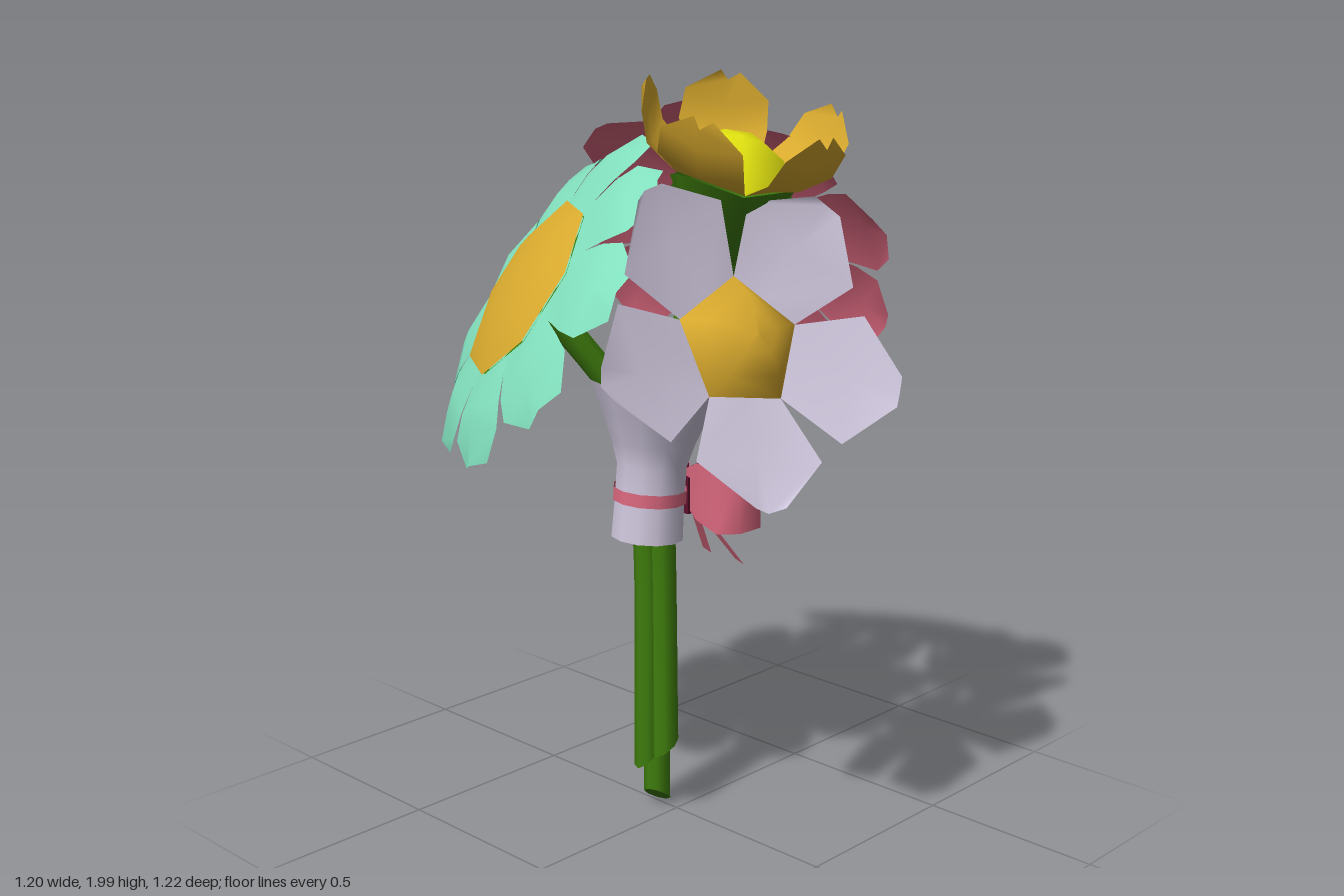
import * as THREE from 'three';

const mat = (name, color) =>
  Object.assign(new THREE.MeshStandardMaterial({ color, side: THREE.DoubleSide }), { name });
const M = {
  gold: mat('gold', 0xd9aa2e),
  yellow: mat('bright yellow', 0xe0e010),
  green: mat('leaf green', 0x3f7d0d),
  pink: mat('rose pink', 0xdb687f),
  teal: mat('mint', 0x82e0be),
  white: mat('pale lavender', 0xd0c8de),
  maroon: mat('maroon', 0x5e0f2c),
};
const V = (x, y, z) => new THREE.Vector3(x, y, z);
const rad = THREE.MathUtils.degToRad;

function add(parent, name, geo, material) {
  const m = new THREE.Mesh(geo, material);
  m.name = name;
  parent.add(m);
  return m;
}

// Grid surface from rows of points, all rows of equal length
function gridGeometry(rows) {
  const n = rows[0].length, index = [];
  for (let r = 0; r < rows.length - 1; r++)
    for (let c = 0; c < n - 1; c++) {
      const a = r * n + c, b = a + 1, d = a + n, e = d + 1;
      index.push(a, b, d, b, e, d);
    }
  const g = new THREE.BufferGeometry().setFromPoints(rows.flat());
  g.setIndex(index);
  g.computeVertexNormals();
  return g;
}

// Petal pointing along +z; each row is [half width, distance, height], with a raised midrib
const petalGeometry = (rows, rib) =>
  gridGeometry(rows.map(([w, r, h], i) => [
    V(-w, h, r), V(0, h + (i ? rib : 0), r + (i === rows.length - 1 ? 0.01 : 0)), V(w, h, r),
  ]));

const lathe = (pts, sides, start = 0) =>
  new THREE.LatheGeometry(pts.map(p => new THREE.Vector2(...p)), sides, start);

// Flower head: domed centre, green back and a ring of petals around the local y axis
function flower(root, f) {
  const g = new THREE.Group();
  g.name = f.name;
  g.position.copy(f.at);
  g.quaternion.setFromUnitVectors(V(0, 1, 0), f.normal.clone().normalize());
  const R = f.radius, H = f.dome;
  add(g, 'flowerCentre', lathe([[R, 0], [R * 0.7, H * 0.6], [R * 0.35, H * 0.92], [0, H]], f.sides, f.start), f.centre);
  add(g, 'calyx', lathe([[0, -f.depth], [R * f.neck, -f.depth * 0.85], [R * 0.98, -0.006]], f.sides, f.start), M.green);
  const geo = petalGeometry(f.rows, f.rib);
  for (let i = 0; i < f.petals; i++)
    add(g, 'petal', geo, f.petal).rotation.y = f.phase + i * 2 * Math.PI / f.petals;
  root.add(g);
}

// Stem with a slanted cut at its foot
function stem(root, pts, slope) {
  const r = 0.036, foot = pts[0];
  const cut = (geo, count) => {
    const p = geo.attributes.position;
    for (let i = 0; i < count; i++)
      p.setY(i, p.getY(i) + slope * (p.getX(i) - foot.x) + 0.3 * (p.getZ(i) - foot.z));
    return geo;
  };
  const tube = new THREE.TubeGeometry(new THREE.CatmullRomCurve3(pts), 20, r, 8);
  add(root, 'stem', cut(tube, 9), M.green);
  const cap = new THREE.CircleGeometry(r, 8).rotateX(Math.PI / 2).translate(foot.x, foot.y, foot.z);
  add(root, 'stemCut', cut(cap, 10), M.green);
}

export function createModel() {
  const root = new THREE.Group();
  root.name = 'bouquet';

  // Large daisies: one each side
  const daisy = { radius: 0.253, dome: 0.04, depth: 0.035, neck: 0.15, sides: 8, petals: 9, rib: 0.018,
    centre: M.gold,
    rows: [[0.078, 0.205, -0.006], [0.117, 0.335, -0.026], [0.127, 0.4, -0.046], [0.065, 0.468, -0.08]] };
  flower(root, { ...daisy, name: 'pinkFlower', at: V(0.385, 1.55, -0.14), normal: V(0.82, 0.52, -0.24),
    petal: M.pink, start: rad(112), phase: rad(87) });
  flower(root, { ...daisy, name: 'mintFlower', at: V(-0.332, 1.48, -0.205), normal: V(-0.73, 0.55, -0.41),
    petal: M.teal, start: rad(215), phase: rad(224) });

  // Five-petalled flowers: the front one open, the top one cupped
  const five = { sides: 5, petals: 5 };
  flower(root, { ...five, name: 'whiteFlower', at: V(-0.172, 1.395, 0.375), normal: V(-0.25, 0.42, 0.87),
    radius: 0.165, dome: 0.09, depth: 0.3, neck: 0.28, centre: M.gold, petal: M.white, rib: -0.015,
    start: Math.PI - 0.42, phase: Math.PI * 1.2 - 0.42,
    rows: [[0.095, 0.13, 0], [0.168, 0.295, 0.04], [0.04, 0.41, 0.07]] });
  flower(root, { ...five, name: 'goldFlower', at: V(-0.025, 1.77, 0.215), normal: V(0, 0.95, 0.28),
    radius: 0.16, dome: 0.1, depth: 0.26, neck: 0.42, centre: M.yellow, petal: M.gold, rib: -0.025,
    start: Math.PI, phase: Math.PI * 1.2,
    rows: [[0.094, 0.13, 0], [0.115, 0.207, 0.055], [0.108, 0.235, 0.125], [0.025, 0.25, 0.18]] });

  // Stems
  stem(root, [V(-0.015, 0.04, -0.06), V(-0.015, 0.8, -0.06), V(-0.03, 1.1, -0.03), V(-0.03, 1.55, 0.13)], -0.75);
  stem(root, [V(-0.045, 0.21, 0), V(-0.045, 0.8, -0.01), V(-0.07, 1.08, 0), V(-0.09, 1.28, 0.13)], 0.6);
  stem(root, [V(-0.067, 0.18, -0.045), V(-0.067, 0.8, -0.045), V(-0.09, 1.1, -0.06), V(-0.3, 1.455, -0.185)], 0.85);
  stem(root, [V(-0.03, 0.24, -0.03), V(-0.03, 0.8, -0.04), V(0.015, 1.13, -0.06), V(0.355, 1.53, -0.13)], 0.6);

  // Paper wrap, leaning slightly and flaring to an open rim, with its ribbon
  const paper = new THREE.Group();
  paper.name = 'wrapping';
  paper.position.set(-0.06, 0.8, -0.05);
  paper.rotation.set(0.035, 0, -0.06);
  add(paper, 'paperWrap', lathe([[0.097, 0], [0.094, 0.1], [0.094, 0.2], [0.112, 0.26],
    [0.143, 0.34], [0.178, 0.42]], 12), M.white);
  add(paper, 'ribbonBand', lathe([[0.099, 0.1], [0.099, 0.135]], 12), M.pink);
  root.add(paper);

  // Bow: two open ribbon loops, pink outside and maroon inside
  const bow = new THREE.Group();
  bow.name = 'bow';
  bow.position.set(0.095, 0.91, -0.05);
  root.add(bow);
  const loopPath = [[0.02, 0.012], [0.055, 0.07], [0.068, 0.16], [0.045, 0.222],
    [-0.035, 0.222], [-0.06, 0.16], [-0.04, 0.07], [-0.02, 0.012]];
  const halfHeights = [0.05, 0.078, 0.093, 0.085, 0.085, 0.093, 0.078, 0.05];
  const loop = inset => gridGeometry([-1, 1].map(s => loopPath.map(([x, z], i) =>
    V(x * (1 - inset), s * halfHeights[i], 0.01 + (z - 0.01) * (1 - inset * 0.4)))));
  for (const dir of [1, -1]) {
    const side = new THREE.Group();
    side.name = 'bowLoop';
    side.scale.z = dir;
    add(side, 'loopOutside', loop(0), M.pink);
    add(side, 'loopInside', loop(0.08), M.maroon);
    bow.add(side);
  }
  add(bow, 'bowKnot', new THREE.BoxGeometry(0.07, 0.1, 0.07).translate(0, -0.02, 0), M.maroon);

  // Ribbon tails
  for (const [z, x] of [[0.1, 0.1], [-0.035, 0.115]]) {
    const tail = gridGeometry([
      [V(0.015, -0.05, 0.014), V(0.015, -0.05, -0.014)],
      [V(x, -0.225, z + 0.016), V(x, -0.215, z - 0.016)],
    ]);
    add(bow, 'ribbonTail', tail, M.pink);
  }
  return root;
}
